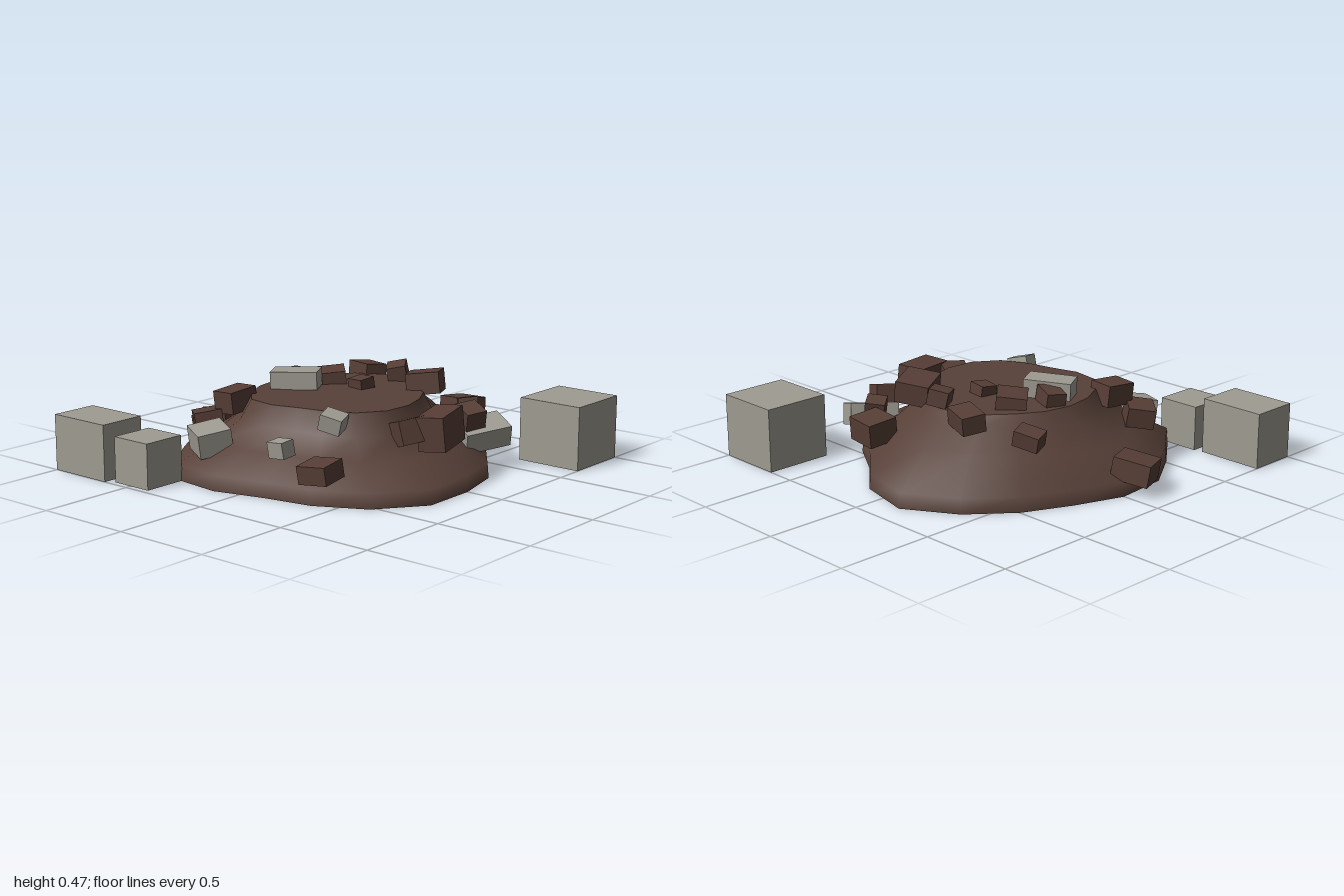
import * as THREE from 'three';

const soil = new THREE.MeshStandardMaterial({ color: 0x584139 });
soil.name = 'soil brown';
const clod = new THREE.MeshStandardMaterial({ color: 0x573e36 });
clod.name = 'clod brown';
const stone = new THREE.MeshStandardMaterial({ color: 0x9e9b91 });
stone.name = 'stone grey';

// Radii of the mound every 20 degrees, from +x towards +z
const BASE = [.80, .855, .82, .76, .715, .785, .855, .80, .815, .79, .745, .77, .82, .88, .81, .71, .745, .78];
const TOP = [.44, .46, .45, .41, .39, .43, .46, .44, .43, .43, .43, .43, .46, .48, .46, .42, .42, .42];
const N = BASE.length;
const TOP_Y = 0.37;

// Ring of points; the slope bulges at the back left and is hollow at the front right
function ring(level) {
  return BASE.map((base, i) => {
    const a = (i / N) * Math.PI * 2;
    const back = Math.max(0, Math.cos(a - Math.PI * 1.42));
    const hollow = Math.max(0, Math.cos(a - Math.PI * 0.15));
    const t = [0, 0.02, 0.5 + 0.1 * hollow, 0.85 + 0.04 * hollow, 1][level];
    const y = [0, 0.075, 0.175 + 0.06 * back - 0.015 * hollow, 0.275 + 0.045 * back - 0.02 * hollow, TOP_Y][level];
    const r = base + (TOP[i] - base) * t;
    return [r * Math.cos(a), y, r * Math.sin(a)];
  });
}

function geometryFrom(points, index) {
  const g = new THREE.BufferGeometry();
  g.setAttribute('position', new THREE.Float32BufferAttribute(points.flat(), 3));
  g.setIndex(index);
  g.computeVertexNormals();
  return g;
}

// Smooth sides through the rings
function sideGeometry() {
  const points = [], index = [];
  for (let l = 0; l < 5; l++) points.push(...ring(l));
  for (let l = 0; l < 4; l++) {
    for (let i = 0; i < N; i++) {
      const a = l * N + i, b = l * N + (i + 1) % N;
      index.push(a, a + N, b, b, a + N, b + N);
    }
  }
  return geometryFrom(points, index);
}

// Flat cap over one ring
function capGeometry(level, up) {
  const points = ring(level), index = [];
  points.push([0, points[0][1], 0]);
  for (let i = 0; i < N; i++) {
    const j = (i + 1) % N;
    index.push(...(up ? [N, j, i] : [N, i, j]));
  }
  return geometryFrom(points, index);
}

// Each row: centre x y z, size x y z, turn x y z
const CLODS = [
  [-.78, .12, .09, .19, .11, .17, .05, .4, .15],
  [-.48, .30, -.33, .13, .08, .10, -.15, .35, .2],
  [-.22, .37, -.49, .18, .09, .12, -.1, -.35, .05],
  [.03, .41, -.43, .10, .08, .13, .1, .6, .2],
  [.31, .225, -.62, .17, .12, .16, -.1, -.1, .05],
  [.25, .395, -.38, .17, .11, .20, -.1, .5, .12],
  [.43, .28, -.50, .10, .08, .10, -.2, .7, .1],
  [.57, .275, -.33, .12, .10, .11, .1, -.4, -.3],
  [.62, .28, -.02, .14, .17, .25, .05, .25, .08],
  [.53, .275, .12, .13, .12, .14, .1, -.4, .3],
  [.39, .155, .60, .16, .09, .15, .1, .1, .1],
  [-.37, .345, .365, .13, .11, .17, .08, -.05, .05],
  [-.48, .24, .45, .16, .10, .14, .15, -.7, .1],
  [-.21, .39, -.18, .15, .08, .19, 0, .75, .1],
  [-.33, .40, -.03, .14, .08, .10, .1, -.4, .1],
  [.01, .385, -.16, .10, .07, .09, .1, -.15, .05],
];
const STONES = [
  [-.245, .415, .05, .24, .09, .14, 0, .52, .03],
  [-.32, .195, .60, .18, .12, .17, .15, -.5, -.1],
  [.295, .34, .395, .11, .08, .11, .15, .35, -.25],
  [.15, .225, .605, .10, .08, .08, .1, -.05, .1],
  [.59, .18, -.40, .16, .11, .25, .1, -.45, -.3],
  // Loose square blocks on the ground
  [.825, .1625, -.825, .35, .325, .35, 0, 0, 0],
  [-.825, .1425, .875, .35, .285, .25, 0, 0, 0],
  [-.493, .115, .855, .225, .23, .23, 0, 0, 0],
];

function scatter(name, rows, material) {
  const group = new THREE.Group();
  group.name = name + 's';
  rows.forEach(([x, y, z, w, h, d, rx, ry, rz]) => {
    const block = new THREE.Mesh(new THREE.BoxGeometry(w, h, d), material);
    block.name = name;
    block.position.set(x, y, z);
    block.rotation.set(rx, ry, rz, 'YXZ');
    group.add(block);
  });
  return group;
}

export function createModel() {
  const model = new THREE.Group();
  model.name = 'rubbleMound';
  const parts = { moundSide: sideGeometry(), moundTop: capGeometry(4, true), moundBottom: capGeometry(0, false) };
  for (const [name, geometry] of Object.entries(parts)) {
    const mesh = new THREE.Mesh(geometry, soil);
    mesh.name = name;
    model.add(mesh);
  }
  model.add(scatter('earthClod', CLODS, clod), scatter('stoneBlock', STONES, stone));
  return model;
}
